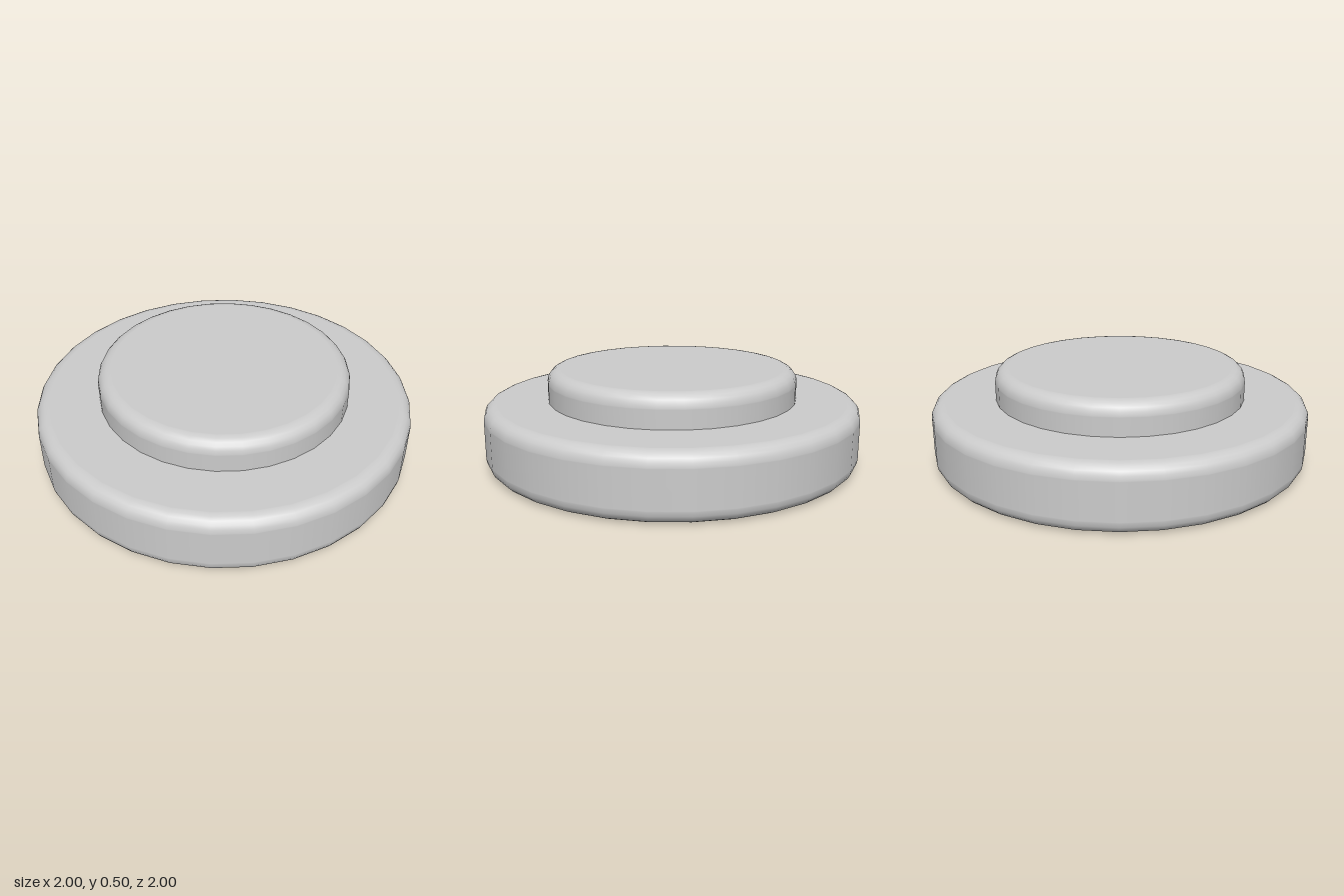
import * as THREE from 'three';

const SIDES = 32;
const BEVEL_STEPS = 5;
const material = new THREE.MeshStandardMaterial({ color: 0xcccccc });

// Solid disc with rounded rims; support points keep the flat faces flat-shaded
function roundedDisc(name, radius, y0, y1, bevel, roundBottom) {
  const pts = [];
  const add = (x, y) => pts.push(new THREE.Vector2(x, y));
  const arc = (cy, from) => {
    for (let i = 0; i <= BEVEL_STEPS; i++) {
      const a = from + (i / BEVEL_STEPS) * Math.PI / 2;
      add(radius - bevel + Math.cos(a) * bevel, cy + Math.sin(a) * bevel);
    }
  };
  const inset = radius - bevel - 0.005;
  if (roundBottom) {
    add(0, y0);
    add(inset, y0);
    arc(y0 + bevel, -Math.PI / 2);
    add(radius, y0 + bevel + 0.005);
  } else {
    add(radius, y0);
  }
  add(radius, y1 - bevel - 0.005);
  arc(y1 - bevel, 0);
  add(inset, y1);
  add(0, y1);
  const mesh = new THREE.Mesh(new THREE.LatheGeometry(pts, SIDES), material);
  mesh.name = name;
  return mesh;
}

export function createModel() {
  const group = new THREE.Group();
  group.name = 'steppedDisc';
  // Wide lower disc
  group.add(roundedDisc('base', 1, 0, 0.333, 0.067, true));
  // Smaller raised disc, its open foot sunk slightly into the base
  group.add(roundedDisc('raisedTop', 0.665, 0.32, 0.5, 0.067, false));
  return group;
}
